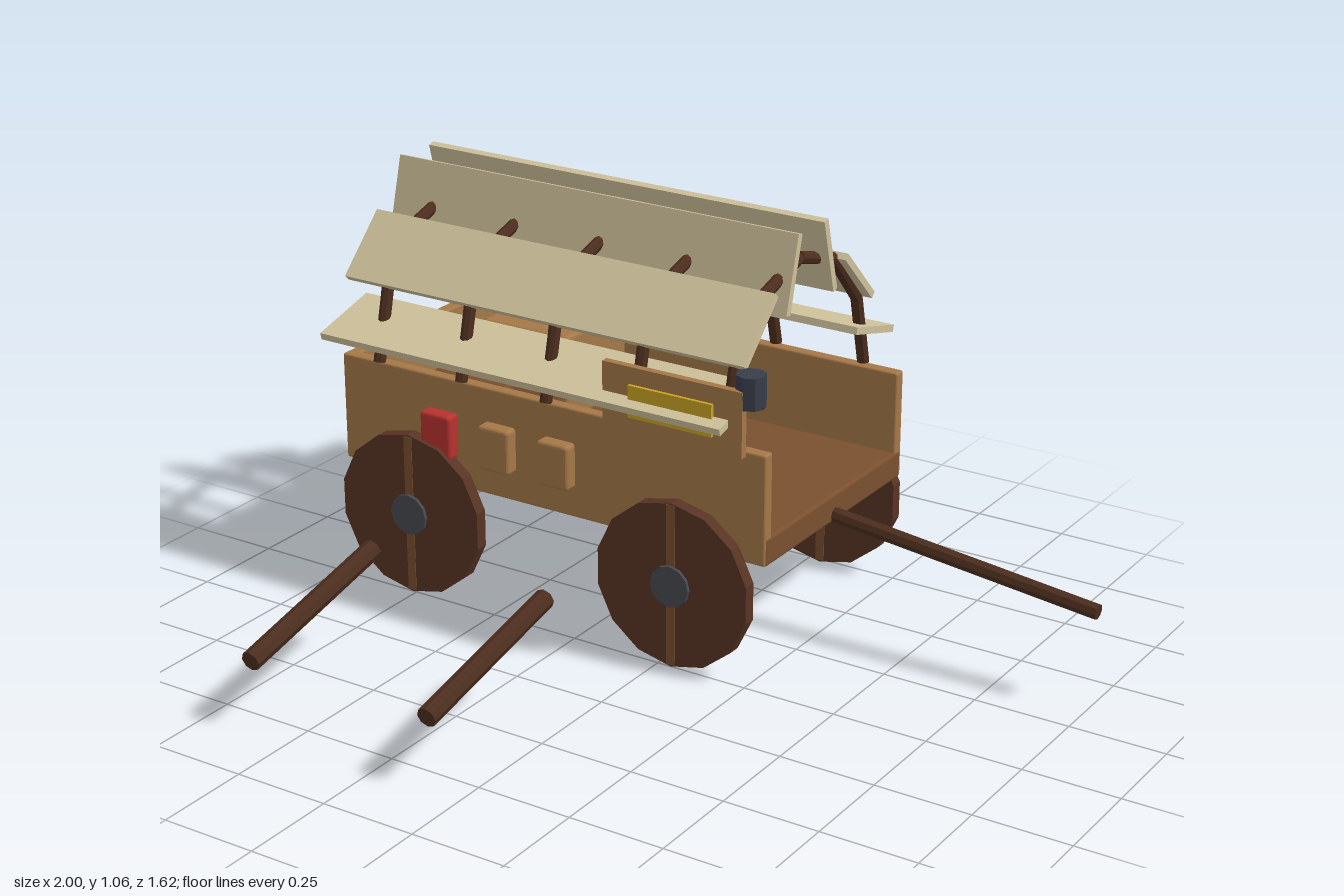
import * as THREE from 'three';
import { RoundedBoxGeometry } from 'three/addons/geometries/RoundedBoxGeometry.js';

const MID_Z = -0.385; // centre line of the wagon

export function createModel() {
  const root = new THREE.Group();
  root.name = 'coveredWagon';

  const material = (name, color, flat = true) => {
    const m = new THREE.MeshStandardMaterial({ color, flatShading: flat });
    m.name = name;
    return m;
  };
  const wood = material('lightWood', 0xa57848);
  const plank = material('midWood', 0x7a5030);
  const wheelWood = material('wheelWood', 0x583424);
  const pole = material('darkWood', 0x4c2e1e);
  const canvas = material('canvas', 0xcfc19b);
  const red = material('redPaint', 0xb8322f);
  const yellow = material('yellowPaint', 0xc9a224);
  const iron = material('iron', 0x484950);
  const lampMetal = material('lampMetal', 0x383d4a);

  const add = (name, geometry, mat, parent = root) => {
    const mesh = new THREE.Mesh(geometry, mat);
    mesh.name = name;
    parent.add(mesh);
    return mesh;
  };
  // Box given by its limits on each axis, with optional rounded edges
  const box = (name, mat, [x0, x1], [y0, y1], [z0, z1], round = 0) => {
    const size = [x1 - x0, y1 - y0, z1 - z0];
    const geo = round ? new RoundedBoxGeometry(...size, 2, round) : new THREE.BoxGeometry(...size);
    const mesh = add(name, geo, mat);
    mesh.position.set((x0 + x1) / 2, (y0 + y1) / 2, (z0 + z1) / 2);
    return mesh;
  };
  // Round bar between two points
  const bar = (name, mat, a, b, radius, sides = 8, parent = root) => {
    const from = new THREE.Vector3(...a), to = new THREE.Vector3(...b);
    const mesh = add(name, new THREE.CylinderGeometry(radius, radius, from.distanceTo(to), sides), mat, parent);
    mesh.position.copy(from).lerp(to, 0.5);
    mesh.quaternion.setFromUnitVectors(new THREE.Vector3(0, 1, 0), to.sub(from).normalize());
    return mesh;
  };

  // Wagon bed: floor, two sides and a back; the front end is open
  box('floor', plank, [-0.995, 0.276], [0.308, 0.382], [-0.72, -0.05], 0.008);
  box('leftSide', wood, [-1, 0.274], [0.31, 0.6], [-0.08, -0.046], 0.006);
  box('rightSide', wood, [-1, 0.274], [0.31, 0.6], [-0.726, -0.692], 0.006);
  box('backBoard', wood, [-1, -0.965], [0.31, 0.6], [-0.724, -0.048], 0.006);

  // Cargo
  box('largeCrate', wood, [-0.817, -0.545], [0.38, 0.62], [-0.685, -0.405], 0.012);
  box('smallCrate', plank, [-0.76, -0.525], [0.38, 0.585], [-0.344, -0.107], 0.012);

  // Boxes set into the near side
  [[-0.683, red], [-0.502, wood], [-0.322, wood]].forEach(([x, mat]) =>
    box('sideBox', mat, [x - 0.047, x + 0.047], [0.39, 0.51], [-0.107, -0.01], 0.01));

  // Sign board with painted panel
  box('signBoard', wood, [-0.16, 0.235], [0.6, 0.768], [-0.02, 0]);
  box('signPanel', yellow, [-0.08, 0.157], [0.642, 0.725], [0.002, 0.0115]);

  // Lantern
  const lantern = add('lantern', new THREE.CylinderGeometry(0.038, 0.038, 0.082, 8), lampMetal);
  lantern.position.set(0.235, 0.763, -0.04);
  const flame = add('lanternLight', new THREE.SphereGeometry(0.037, 8, 6), yellow);
  flame.position.copy(lantern.position);

  // Wheels: solid disc, one upright strap and a hub
  for (const x of [-0.762, 0.037]) {
    for (const z of [-0.0175, -0.7525]) {
      const wheel = new THREE.Group();
      wheel.name = 'wheel';
      wheel.position.set(x, 0.22, z);
      root.add(wheel);
      add('disc', new THREE.CylinderGeometry(0.22, 0.22, 0.035, 14), wheelWood, wheel).rotation.x = Math.PI / 2;
      add('strap', new THREE.BoxGeometry(0.025, 0.43, 0.038), plank, wheel);
      add('hub', new THREE.CylinderGeometry(0.055, 0.055, 0.053, 12), iron, wheel).rotation.x = Math.PI / 2;
    }
  }

  // Draw pole, and two loose shafts lying beside the wagon
  bar('drawPole', pole, [0.265, 0.326, MID_Z], [0.998, 0.245, MID_Z], 0.02);
  for (const x of [-0.62, -0.103])
    bar('looseShaft', pole, [x, 0.173, 0.803], [x, 0.284, 0.333], 0.026);

  // Cover hoops: six straight pieces around a half ellipse
  const onArch = (deg) => {
    const t = THREE.MathUtils.degToRad(deg);
    return [0.6 + 0.378 * Math.sin(t), MID_Z + 0.338 * Math.cos(t)];
  };
  for (let i = 0; i < 5; i++) {
    const x = -0.88 + 0.2595 * i;
    const hoop = new THREE.Group();
    hoop.name = 'hoop';
    root.add(hoop);
    for (let deg = 0; deg < 180; deg += 30)
      bar('hoopPiece', pole, [x, ...onArch(deg)], [x, ...onArch(deg + 30)], 0.016, 8, hoop);
  }

  // Cover panels, tilted like louvres along the arch
  for (const deg of [15, 45, 75, 105, 135, 165]) {
    const panel = add('coverPanel', new THREE.BoxGeometry(1.197, 0.019, 0.2), canvas);
    const [y, z] = onArch(deg);
    panel.position.set(-0.4015, y, z);
    panel.rotation.x = THREE.MathUtils.degToRad(deg);
  }

  return root;
}
